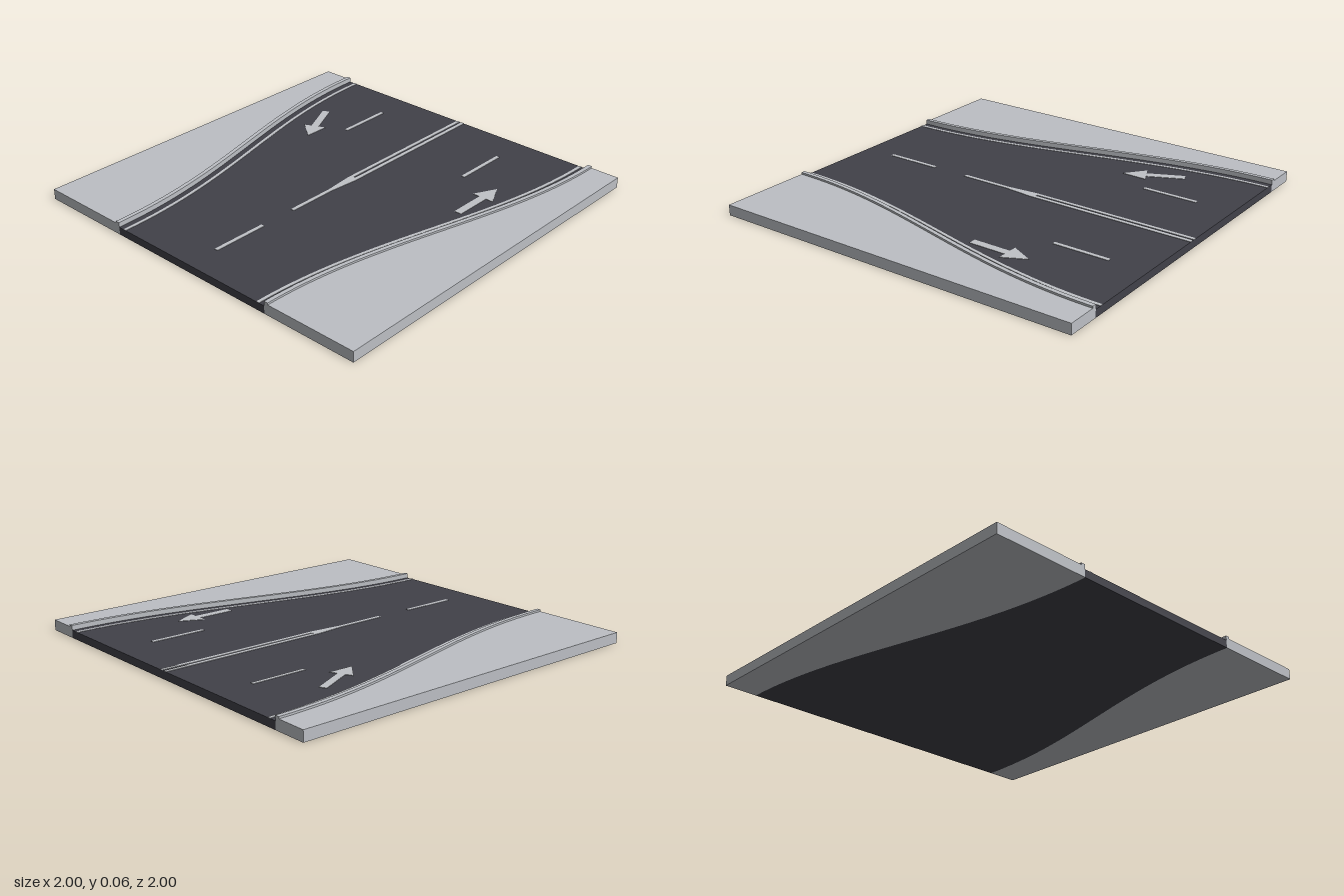
import * as THREE from 'three';

const STEPS = 32;
const ROAD_TOP = 0.04;

// Smooth narrowing of the road: x runs from "back" at z = -1 to "front" at z = 1
function edge(back, front) {
  const points = [];
  for (let i = 0; i <= STEPS; i++) {
    const t = i / STEPS;
    const s = (1 - Math.cos(Math.PI * t)) / 2;
    points.push([back + (front - back) * s, -1 + 2 * t]);
  }
  return points;
}

// Upright slab from an outline of [x, z] points
function slab(name, outline, bottom, top, material) {
  const shape = new THREE.Shape(outline.map(([x, z]) => new THREE.Vector2(x, -z)));
  const geometry = new THREE.ExtrudeGeometry(shape, { depth: top - bottom, bevelEnabled: false });
  geometry.rotateX(-Math.PI / 2);
  geometry.translate(0, bottom, 0);
  const mesh = new THREE.Mesh(geometry, material);
  mesh.name = name;
  return mesh;
}

const mirrorX = (points, side) => points.map(([x, z]) => [x * side, z]);
const between = (a, b) => [...a, ...[...b].reverse()];
const rect = (x0, x1, z0, z1) => [[x0, z0], [x1, z0], [x1, z1], [x0, z1]];

export function createModel() {
  const asphalt = new THREE.MeshStandardMaterial({ color: 0x414149 });
  asphalt.name = 'asphalt';
  const concrete = new THREE.MeshStandardMaterial({ color: 0xbcbfc4 });
  concrete.name = 'concrete';
  const paint = new THREE.MeshStandardMaterial({ color: 0xc0c2c6 });
  paint.name = 'road paint';

  const model = new THREE.Group();
  model.name = 'narrowingRoad';
  const marking = (name, outline) => {
    const mesh = slab(name, outline, ROAD_TOP, ROAD_TOP + 0.002, paint);
    model.add(mesh);
    return mesh;
  };

  // Road bed
  const curbInner = edge(0.822, 0.488);
  const curbOuter = edge(0.845, 0.51);
  model.add(slab('roadBed', between(curbInner, mirrorX(curbInner, -1)), 0, ROAD_TOP, asphalt));

  // Pavement, curb, edge line and lane dash on each side
  for (const [label, side] of [['left', 1], ['right', -1]]) {
    const pavement = between(curbOuter, [[1, -1], [1, 1]]);
    model.add(slab(label + 'Pavement', mirrorX(pavement, side), 0, 0.055, concrete));
    model.add(slab(label + 'Curb', mirrorX(between(curbInner, curbOuter), side), 0, 0.065, concrete));
    marking(label + 'EdgeLine', mirrorX(between(edge(0.77, 0.44), edge(0.787, 0.457)), side));
    marking(label + 'LaneDash', mirrorX(rect(0.39, 0.41, -0.8, -0.5), side));
    marking(label + 'CentreLine', mirrorX(rect(0.006, 0.025, -1, -0.1), side));
  }

  // Double centre line merging into a single dashed line
  marking('centreMerge', [
    [-0.025, -0.1], [-0.006, -0.12], [0.006, -0.12], [0.025, -0.1],
    [0.01, 0.06], [0.01, 0.33], [-0.01, 0.33], [-0.01, 0.06],
  ]);
  marking('centreDash', rect(-0.01, 0.01, 0.53, 0.83));

  // Direction arrows, drawn pointing to -z from the tail
  const arrow = [
    [-0.02, 0], [-0.02, -0.2], [-0.06, -0.2], [0, -0.32],
    [0.06, -0.2], [0.02, -0.2], [0.02, 0],
  ];
  const straightArrow = marking('straightArrow', arrow);
  straightArrow.position.set(0.607, 0, -0.19);
  const mergeArrow = marking('mergeArrow', arrow);
  mergeArrow.position.set(-0.644, 0, -0.6);
  mergeArrow.rotation.y = Math.PI + Math.atan2(0.136, 0.29);

  return model;
}
